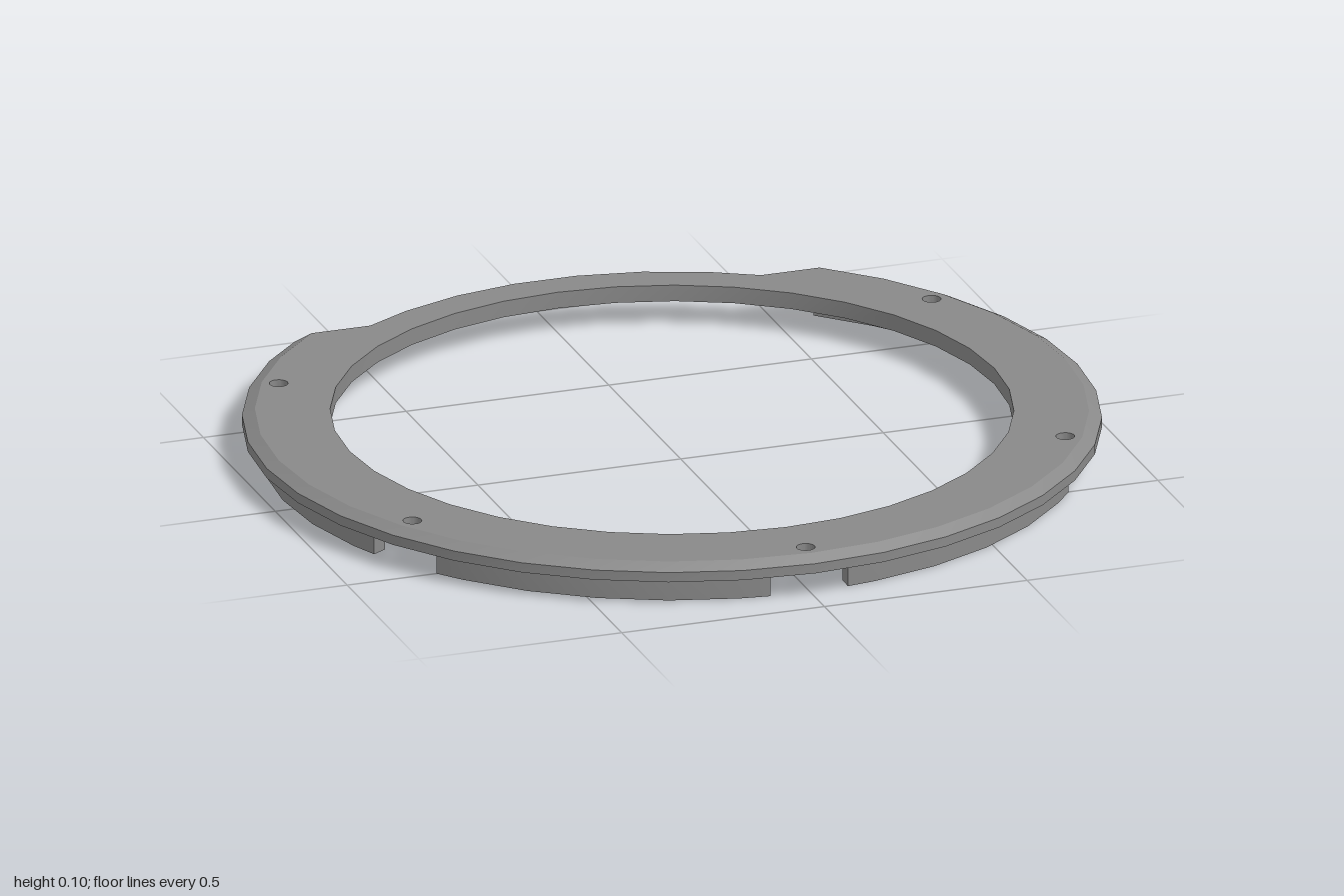
import * as THREE from 'three';
import { mergeGeometries, toCreasedNormals } from 'three/addons/utils/BufferGeometryUtils.js';

const CENTRE_Z = -0.06;      // ring axis
const RIM_Y = 0.061;         // underside of the plate
const CHAMFER_Y = 0.085;
const TOP_Y = 0.101;
const CUT = 0.74;            // flat shoulders at the back, measured from the axis
const CREASE = 0.35;
const RAD = Math.PI / 180;

const material = new THREE.MeshStandardMaterial({ color: 0x898989 });
const polar = (r, deg) => new THREE.Vector2(r * Math.cos(deg * RAD), r * Math.sin(deg * RAD));

function arc(r, from, to, step) {
  const pts = [];
  const n = Math.round((to - from) / step);
  for (let i = 0; i <= n; i++) pts.push(polar(r, from + i * step));
  return pts;
}

// Lays a drawn geometry (drawing up = back) on the ground plane
function layFlat(geometry, y) {
  geometry.rotateX(-Math.PI / 2);
  geometry.translate(0, y, CENTRE_Z);
  return geometry;
}

function addMesh(group, name, geometry) {
  const mesh = new THREE.Mesh(toCreasedNormals(geometry, CREASE), material);
  mesh.name = name;
  group.add(mesh);
}

// Plate outline: wide rim of radius r, flat shoulders, narrower arc at the back
function outline(r) {
  const a = polar(r, 40), b = polar(r, 50);
  const corner = a.clone().lerp(b, (CUT - a.y) / (b.y - a.y)).x;
  return [
    ...arc(r, -220, 40, 10),
    new THREE.Vector2(corner, CUT),
    new THREE.Vector2(0.482, CUT),
    ...arc(0.883, 65, 115, 10),
    new THREE.Vector2(-0.482, CUT),
    new THREE.Vector2(-corner, CUT),
  ];
}

// Closed wall between two loops with equal point counts
function wall(lower, y0, upper, y1) {
  const pos = [];
  const put = (p, y) => pos.push(p.x, y, CENTRE_Z - p.y);
  lower.forEach((l0, i) => {
    const j = (i + 1) % lower.length;
    put(l0, y0); put(lower[j], y0); put(upper[j], y1);
    put(l0, y0); put(upper[j], y1); put(upper[i], y1);
  });
  const geometry = new THREE.BufferGeometry();
  geometry.setAttribute('position', new THREE.Float32BufferAttribute(pos, 3));
  return geometry;
}

function cap(points, holes, y, faceDown) {
  const shape = new THREE.Shape(points);
  shape.holes = holes.map((h) => new THREE.Path(h));
  const geometry = layFlat(new THREE.ShapeGeometry(shape), y);
  if (faceDown) geometry.index.array.reverse();
  geometry.deleteAttribute('uv');
  geometry.deleteAttribute('normal');
  return geometry.toNonIndexed();
}

function plateGeometry() {
  const rim = outline(1), top = outline(0.97);
  // Clockwise loops: the large opening and five screw holes
  const holes = [arc(0.795, 350, 0, -10).length ? arc(0.795, 0, 350, 10).reverse() : []];
  for (const deg of [-150, -90, -30, 30, 150]) {
    const c = polar(0.93, deg);
    holes.push(arc(0.022, 0, 345, 15).map((p) => p.add(c)).reverse());
  }
  return mergeGeometries([
    cap(rim, holes, RIM_Y, true),
    wall(rim, RIM_Y, rim, CHAMFER_Y),
    wall(rim, CHAMFER_Y, top, TOP_Y),
    cap(top, holes, TOP_Y, false),
    ...holes.map((h) => wall(h, RIM_Y, h, TOP_Y)),
  ]);
}

// Curved lug; each end has its own angle on the outer and inner wall
function lugGeometry(outerEnds, innerEnds) {
  const side = (r, [a, b]) => {
    const pts = [polar(r, a)];
    for (let d = Math.ceil((a + 1) / 10) * 10; d < b - 1; d += 10) pts.push(polar(r, d));
    pts.push(polar(r, b));
    return pts;
  };
  const shape = new THREE.Shape([...side(0.96, outerEnds), ...side(0.92, innerEnds).reverse()]);
  return layFlat(new THREE.ExtrudeGeometry(shape, { depth: RIM_Y, bevelEnabled: false }), 0);
}

export function createModel() {
  const group = new THREE.Group();
  group.name = 'mountingRing';
  addMesh(group, 'plate', plateGeometry());

  // Long lugs, leaving a gap at every screw hole
  const gapOut = 5.7, gapIn = 6;
  const names = { 0: 'leftLug', '-60': 'frontLeftLug', '-120': 'frontRightLug', '-180': 'rightLug' };
  for (const deg of [0, -60, -120, -180]) {
    addMesh(group, names[deg], lugGeometry(
      [deg - 30 + gapOut, deg + 30 - gapOut],
      [deg - 30 + gapIn, deg + 30 - gapIn]));
  }

  // Short lugs under the shoulders, cut parallel to the back
  const outer = [30 + gapOut, 46.8], inner = [30 + gapIn, 49.5];
  const mirror = ([a, b]) => [180 - b, 180 - a];
  addMesh(group, 'backLeftLug', lugGeometry(outer, inner));
  addMesh(group, 'backRightLug', lugGeometry(mirror(outer), mirror(inner)));
  return group;
}
